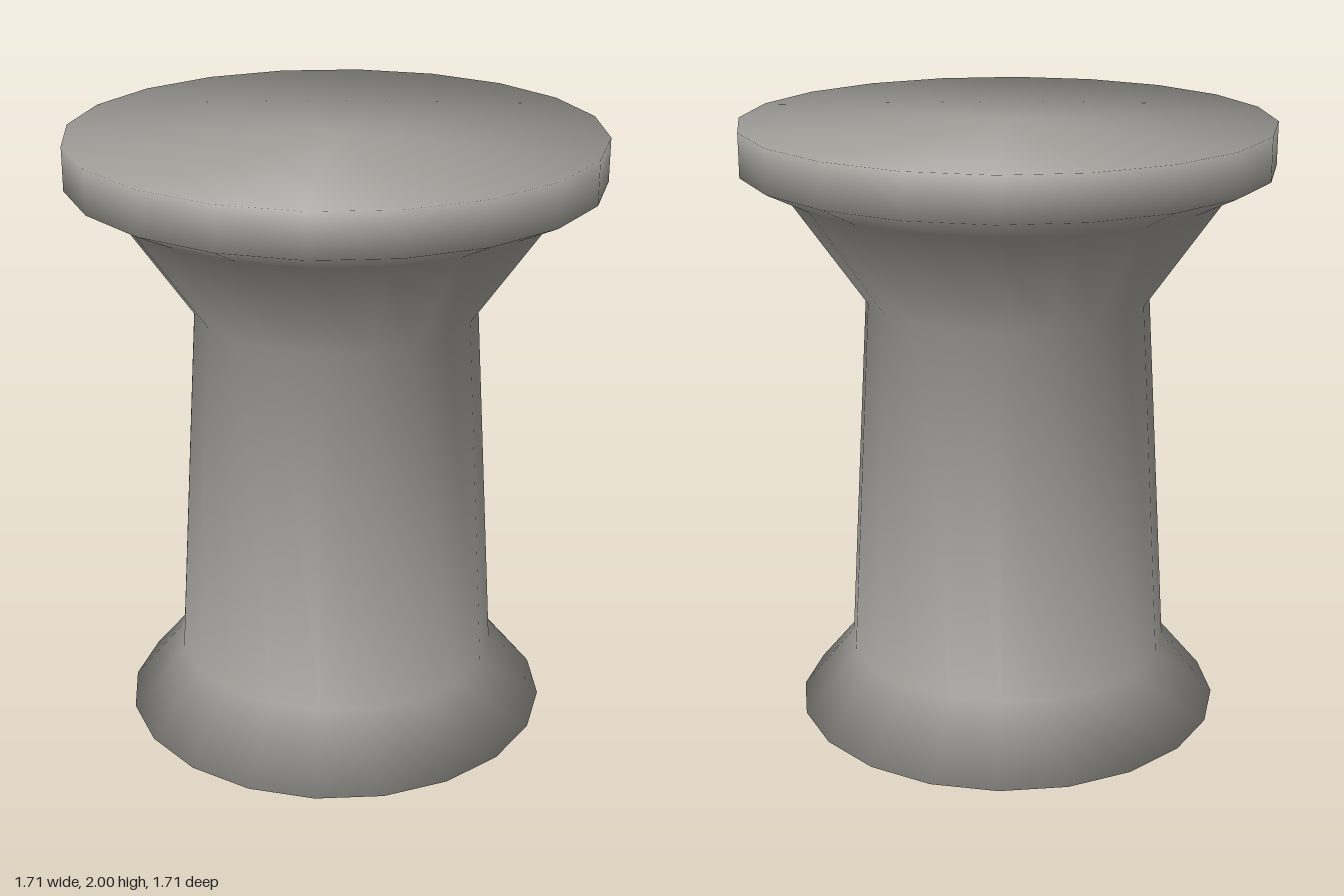
import * as THREE from 'three';

const SIDES = 20;

// Smooth normal at profile point i: its two bands, weighted by their corner angles
function profileNormal(profile, i) {
  const p = profile[i];
  const sum = new THREE.Vector2();
  for (const step of [-1, 1]) {
    const q = profile[i + step];
    if (!q) continue;
    const inset = (p.x - q.x) * Math.sin(Math.PI / SIDES);
    const weight = Math.acos(inset / p.distanceTo(q));
    const bandNormal = new THREE.Vector2((q.y - p.y) * step, (p.x - q.x) * step);
    sum.addScaledVector(bandNormal.normalize(), weight);
  }
  return sum.normalize();
}

// Smooth lathe; the underside is one polygon spanning the foot's rim
function softLathe(profile) {
  const points = profile.slice(1);
  const normals = points.map((_, j) => profileNormal(profile, j + 1));
  const geometry = new THREE.LatheGeometry(points, SIDES);
  const attribute = geometry.attributes.normal;
  const index = [...geometry.index.array];
  for (let i = 0; i <= SIDES; i++) {
    const angle = (i / SIDES) * Math.PI * 2;
    normals.forEach((n, j) => attribute.setXYZ(
      i * points.length + j, n.x * Math.sin(angle), n.y, n.x * Math.cos(angle)));
    if (i > 0 && i < SIDES - 1) index.push(0, (i + 1) * points.length, i * points.length);
  }
  geometry.setIndex(index);
  return geometry;
}

export function createModel() {
  const group = new THREE.Group();
  group.name = 'pedestal';

  // Closed profile: flared foot, tapered shaft, spreading neck, flat top disc
  const profile = [
    [0, 0], [0.712, 0], [0.535, 0.215], [0.463, 1.43],
    [0.713, 1.79], [0.855, 1.86], [0.855, 2], [0, 2],
  ].map(([r, y]) => new THREE.Vector2(r, y));

  const body = new THREE.Mesh(
    softLathe(profile), new THREE.MeshStandardMaterial({ color: 0x9f9e99 }));
  body.name = 'pedestalBody';
  group.add(body);
  return group;
}
